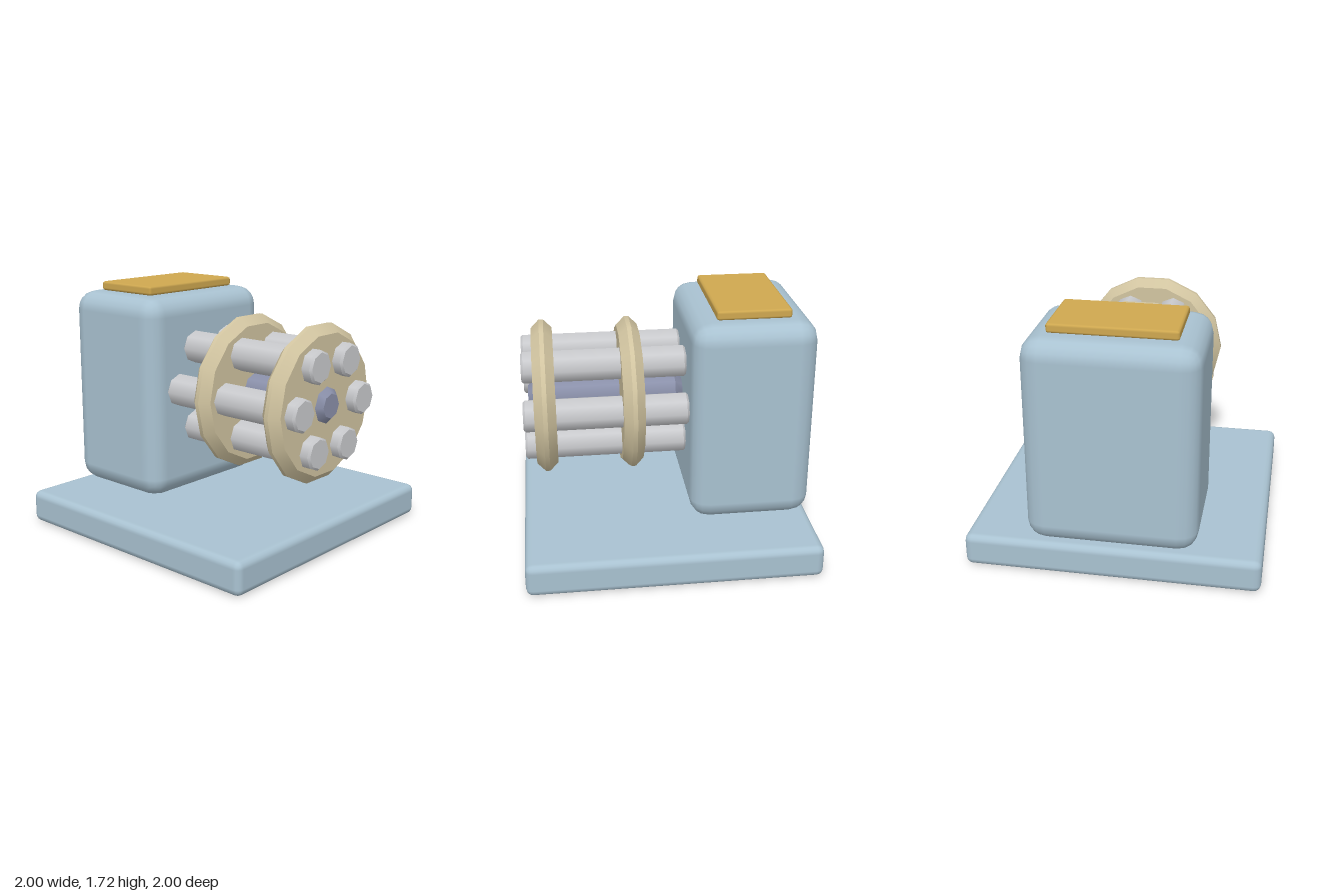
import * as THREE from 'three';
import { mergeGeometries } from 'three/addons/utils/BufferGeometryUtils.js';
import { RoundedBoxGeometry } from 'three/addons/geometries/RoundedBoxGeometry.js';

const AXIS_Y = 1.003;

function material(name, color) {
  const m = new THREE.MeshStandardMaterial({ color });
  m.name = name;
  return m;
}

// Solid turned about the z axis from [radius, z] points (back to front), with sharp bands
function turned(profile, sides) {
  const parts = [];
  for (let i = 0; i < profile.length - 1; i++) {
    const [r0, z0] = profile[i], [r1, z1] = profile[i + 1];
    const band = new THREE.CylinderGeometry(r1, r0, z1 - z0, sides, 1, true);
    parts.push(band.translate(0, (z0 + z1) / 2, 0));
  }
  const [rBack, zBack] = profile[0], [rFront, zFront] = profile[profile.length - 1];
  // End caps share the band's corner positions
  const start = -Math.PI / 2;
  parts.push(new THREE.CircleGeometry(rFront, sides, start).rotateX(-Math.PI / 2).translate(0, zFront, 0));
  parts.push(new THREE.CircleGeometry(rBack, sides, start).rotateX(Math.PI / 2).translate(0, zBack, 0));
  return mergeGeometries(parts).rotateX(Math.PI / 2).rotateZ(Math.PI / 2);
}

export function createModel() {
  const group = new THREE.Group();
  const blue = material('pale blue', 0xa9c2d1);
  const tan = material('tan', 0xd2c5a1);
  const silver = material('silver', 0xcacbce);
  const slate = material('slate', 0x8b91ab);
  const gold = material('gold', 0xcfa850);

  const add = (name, geometry, mat, x, y, z) => {
    const mesh = new THREE.Mesh(geometry, mat);
    mesh.name = name;
    mesh.position.set(x, y, z);
    group.add(mesh);
  };

  // Base slab, housing and top plate
  add('base', new RoundedBoxGeometry(2, 0.23, 2, 2, 0.05), blue, 0, 0.115, 0);
  add('housing', new RoundedBoxGeometry(1.15, 1.425, 0.845, 2, 0.135), blue, 0, 0.9425, -0.5775);
  add('topPlate', new RoundedBoxGeometry(0.84, 0.065, 0.505, 1, 0.018), gold, 0, 1.6875, -0.58);

  // Central shaft
  const shaft = turned([[0.085, -0.16], [0.147, -0.1], [0.147, 0.87], [0.085, 0.93]], 8);
  add('shaft', shaft, slate, 0, AXIS_Y, 0);

  // Ring of six barrels
  const barrel = turned([[0.1, -0.155], [0.115, -0.14], [0.115, 0.95], [0.1, 0.965]], 8);
  for (let i = 0; i < 6; i++) {
    const a = i * Math.PI / 3;
    add('barrel' + (i + 1), barrel, silver, 0.33 * Math.cos(a), AXIS_Y + 0.33 * Math.sin(a), 0);
  }

  // Two bevelled clamp discs
  const disc = turned([[0.482, -0.073], [0.54, -0.015], [0.54, 0.015], [0.482, 0.073]], 14);
  add('rearDisc', disc, tan, 0, AXIS_Y, 0.222);
  add('frontDisc', disc, tan, 0, AXIS_Y, 0.817);

  return group;
}
